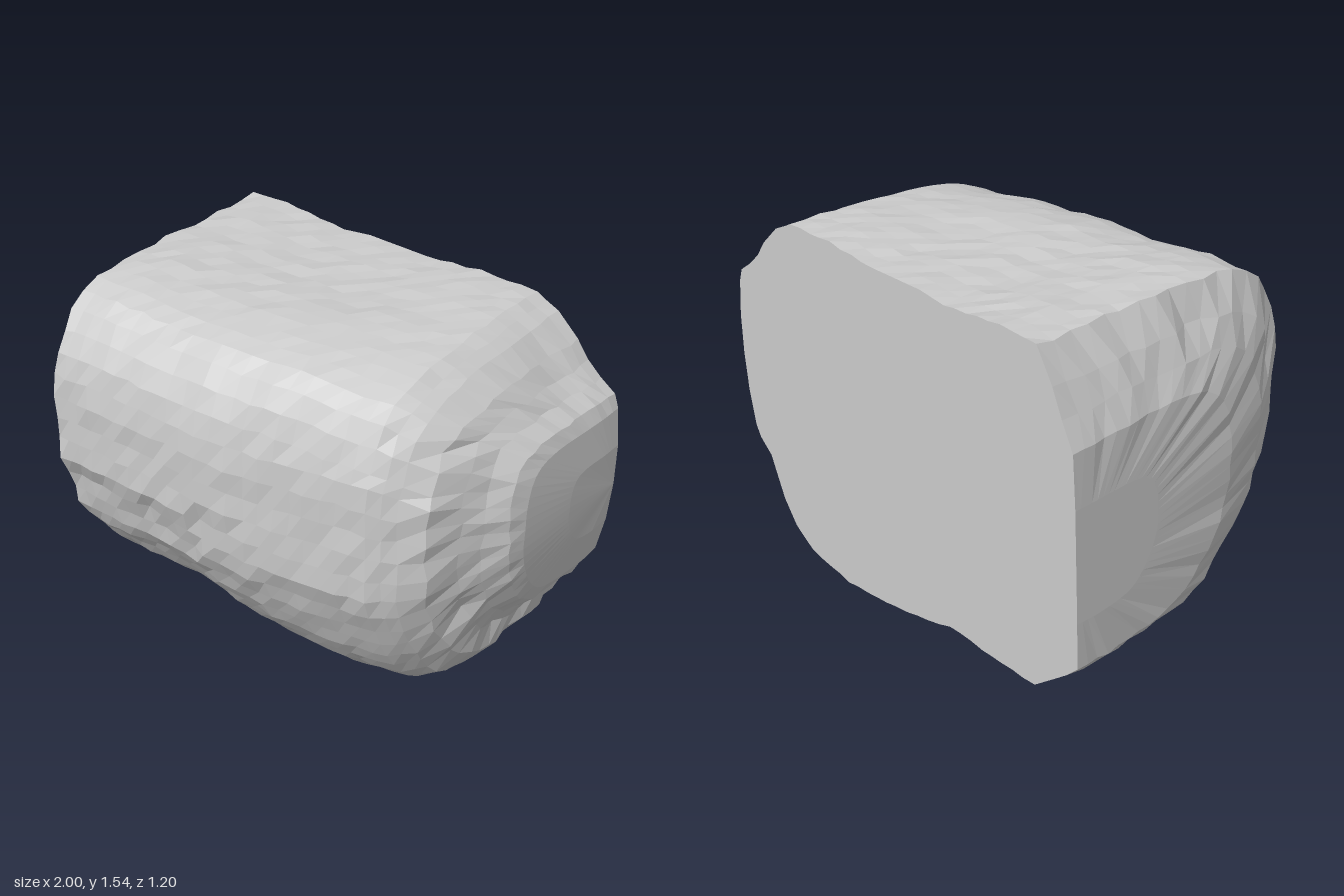
import * as THREE from 'three';

// Sections along x: [x, bottom, top, front z, scale towards the middle of the back edge]
const SECTIONS = [
  [-0.958, 0.36, 1.18, 0.14, 0.0],
  [-0.958, 0.36, 1.18, 0.14, 0.55],
  [-0.95, 0.35, 1.21, 0.2, 1],
  [-0.91, 0.3, 1.31, 0.4, 1],
  [-0.85, 0.23, 1.41, 0.5, 1],
  [-0.77, 0.15, 1.535, 0.585, 1],
  [-0.6, 0.142, 1.54, 0.585, 1],
  [-0.3, 0.14, 1.51, 0.565, 1],
  [-0.1, 0.08, 1.515, 0.56, 1],
  [0.1, 0.035, 1.505, 0.535, 1],
  [0.35, 0.004, 1.52, 0.49, 1],
  [0.6, 0.035, 1.513, 0.458, 1],
  [0.7, 0.1, 1.455, 0.405, 1],
  [0.79, 0.21, 1.37, 0.345, 1],
  [0.87, 0.31, 1.3, 0.22, 1],
  [0.985, 0.44, 1.2, 0.06, 1],
  [1.0, 0.47, 1.16, 0.02, 0.95],
  [1.005, 0.47, 1.16, 0.02, 0.5],
  [1.005, 0.47, 1.16, 0.02, 0.0],
];

// Side profile from bottom back, round the front, to top back: (depth, height) as fractions
const PROFILE = [
  [0, 0.01], [0.25, 0], [0.5, 0.015], [0.66, 0.05], [0.76, 0.11], [0.86, 0.21],
  [0.92, 0.295], [0.97, 0.4], [1, 0.5], [1, 0.62], [1, 0.73], [0.975, 0.83],
  [0.93, 0.91], [0.84, 0.97], [0.65, 1], [0.35, 1], [0, 1],
].map(([u, v]) => new THREE.Vector2(u, v));

const { smoothstep } = THREE.MathUtils;

// Repeatable value in -1..1 for a grid position
function jitter(i, j, k) {
  const s = Math.sin(i * 127.1 + j * 311.7 + k * 74.7) * 43758.5453;
  return (s - Math.floor(s)) * 2 - 1;
}

// Subdivide the section table so that facets stay small
function subdivide(rows, step) {
  const out = [];
  rows.forEach((row, i) => {
    out.push(row);
    const next = rows[i + 1];
    if (!next) return;
    const n = Math.max(1, Math.round((next[0] - row[0]) / step));
    for (let k = 1; k < n; k++) out.push(row.map((v, c) => v + ((next[c] - v) * k) / n));
  });
  return out;
}

function buildRock() {
  const loop = new THREE.SplineCurve(PROFILE).getSpacedPoints(40);
  const rows = subdivide(SECTIONS, 0.065);
  const positions = [];
  const index = [];

  rows.forEach(([sx, bottom, top, front, scale], i) => {
    const cy = (bottom + top) / 2;
    const ends = Math.abs(sx);
    loop.forEach((p, j) => {
      let x = sx;
      let y = cy + (bottom + (top - bottom) * p.y - cy) * scale;
      let z = -0.6 + (front + 0.6) * p.x * scale;
      const onBack = p.x < 0.001;

      // Raised front panel with a pitted lower edge, and the ledge beneath it
      if (p.x > 0.85 && ends < 0.78) {
        if (sx < 0.08 && y > 0.8 && y < 1.3) z += 0.012;
        if (sx < 0.12 && y > 0.68 && y < 0.8 && jitter(i, j, 4) > 0.4) z -= 0.018;
        const ledge = sx < -0.12 ? 0.5 : 0.58;
        if (y > ledge && y < ledge + 0.12) z += 0.014;
      }

      // Top falling away towards the front on the model's left
      if (p.y > 0.8) y -= 0.04 * smoothstep(sx, 0.1, 0.5) * (1 - smoothstep(sx, 0.7, 0.9)) * smoothstep(z, -0.4, 0.3);

      // Tilted end face on one side, domed end face on the other
      const k = smoothstep(ends, 0.78, 0.95);
      if (sx < 0) x += k * (0.045 * (z + 0.15) + 0.045 * (y - 0.85));
      else x -= k * (0.06 * Math.max(0, z + 0.5) + 0.25 * (y - 0.92) ** 2);

      if (scale === 1) {
        // Chipped rims where the ends meet the body
        if (ends > 0.75 && ends < 0.88 && !onBack && jitter(i, j, 5) > 0.5) x -= Math.sign(sx) * 0.018;
        // Rough facets
        const rough = ends > 0.72 && ends < 0.94 ? 0.009 : 0.006;
        x += rough * jitter(i, j, 1);
        y += rough * 0.8 * jitter(i, j, 2);
        if (!onBack) z += rough * jitter(i, j, 3);
      }
      positions.push(x, y, z);
    });
  });

  // Skin the loops, closing each across the flat back
  const n = loop.length;
  for (let i = 0; i < rows.length - 1; i++) {
    for (let j = 0; j < n; j++) {
      const a = i * n + j;
      const d = i * n + ((j + 1) % n);
      const b = a + n;
      const c = d + n;
      if (rows[i + 1][4] > 0) index.push(a, b, c);
      else index.push(a, b, d);
      if (rows[i][4] > 0 && rows[i + 1][4] > 0) index.push(a, c, d);
    }
  }

  const geometry = new THREE.BufferGeometry();
  geometry.setAttribute('position', new THREE.Float32BufferAttribute(positions, 3));
  geometry.setIndex(index);
  geometry.computeVertexNormals();
  return geometry;
}

export function createModel() {
  const group = new THREE.Group();
  group.name = 'rockBlock';
  const material = new THREE.MeshStandardMaterial({ color: 0xcccccc, flatShading: true });
  const rock = new THREE.Mesh(buildRock(), material);
  rock.name = 'rock';
  group.add(rock);
  return group;
}
